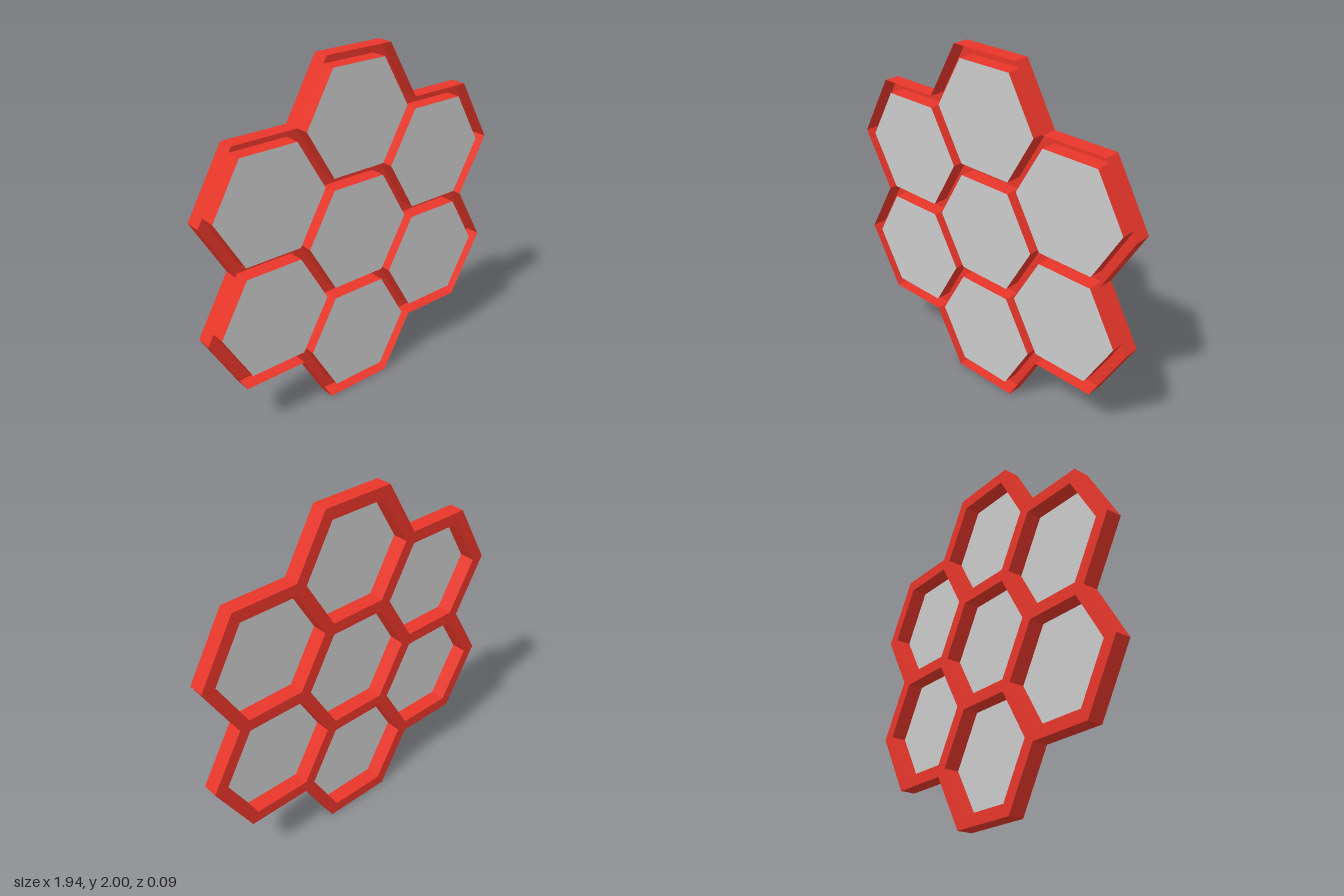
import * as THREE from 'three';

const APOTHEM = 0.2885;              // cell opening, centre to flat
const WALL = 0.067;                  // frame width
const PITCH = 2 * APOTHEM + WALL;    // distance between cell centres
const HALF = 0.045;                  // half depth
const COS30 = Math.cos(Math.PI / 6);
const R_IN = APOTHEM / COS30;
const R_OUT = (APOTHEM + WALL) / COS30;

const red = new THREE.MeshStandardMaterial({ color: 0xe8362a, flatShading: true, side: THREE.DoubleSide });
const grey = new THREE.MeshStandardMaterial({ color: 0xcccccc, flatShading: true, side: THREE.DoubleSide });

const polar = (r, deg, c = new THREE.Vector2()) => {
  const a = THREE.MathUtils.degToRad(deg);
  return new THREE.Vector2(c.x + r * Math.cos(a), c.y + r * Math.sin(a));
};

const hexagon = (c, r) => Array.from({ length: 6 }, (_, i) => polar(r, i * 60, c));

// Upright band running round a closed loop, from back to front
function bandGeometry(loop) {
  const pos = [];
  loop.forEach((a, i) => {
    const b = loop[(i + 1) % loop.length];
    pos.push(a.x, a.y, -HALF, b.x, b.y, -HALF, b.x, b.y, HALF);
    pos.push(a.x, a.y, -HALF, b.x, b.y, HALF, a.x, a.y, HALF);
  });
  const g = new THREE.BufferGeometry();
  g.setAttribute('position', new THREE.Float32BufferAttribute(pos, 3));
  g.computeVertexNormals();
  return g;
}

export function createModel() {
  const group = new THREE.Group();
  const add = (name, geometry, material) => {
    const mesh = new THREE.Mesh(geometry, material);
    mesh.name = name;
    mesh.position.y = 1;
    group.add(mesh);
    return mesh;
  };

  // One centre cell with six around it
  const centres = [new THREE.Vector2()];
  const outline = [];
  const notchRadius = (PITCH / 2 + (APOTHEM + WALL) / 1.5 * 1) && Math.hypot(
    PITCH / 2 + APOTHEM + WALL,
    (PITCH / 2 + APOTHEM + WALL) / Math.sqrt(3)
  );
  for (let deg = 30; deg < 390; deg += 60) {
    const c = polar(PITCH, deg);
    centres.push(c);
    // two free corners of each outer cell, then the notch to the next one
    outline.push(polar(R_OUT, deg - 30, c), polar(R_OUT, deg + 30, c), polar(notchRadius, deg + 30));
  }

  // Rim at the back, pierced by the cells, and the wall round its outside
  const rim = new THREE.Shape(outline);
  rim.holes = centres.map((c) => new THREE.Path(hexagon(c, R_IN).reverse()));
  const rimGeometry = new THREE.ShapeGeometry(rim);
  // turn the faces to the rear
  rimGeometry.index.array.reverse();
  rimGeometry.computeVertexNormals();
  rimGeometry.translate(0, 0, -HALF);
  add('backRim', rimGeometry, red);
  add('outerWall', bandGeometry(outline), red);

  // Each cell: a six-sided wall closed by a panel at the front
  centres.forEach((c, i) => {
    add(`cellWall${i + 1}`, bandGeometry(hexagon(c, R_IN).reverse()), red);
    const panel = add(`cellPanel${i + 1}`, new THREE.CircleGeometry(R_IN, 6), grey);
    panel.position.set(c.x, 1 + c.y, HALF);
  });

  return group;
}
